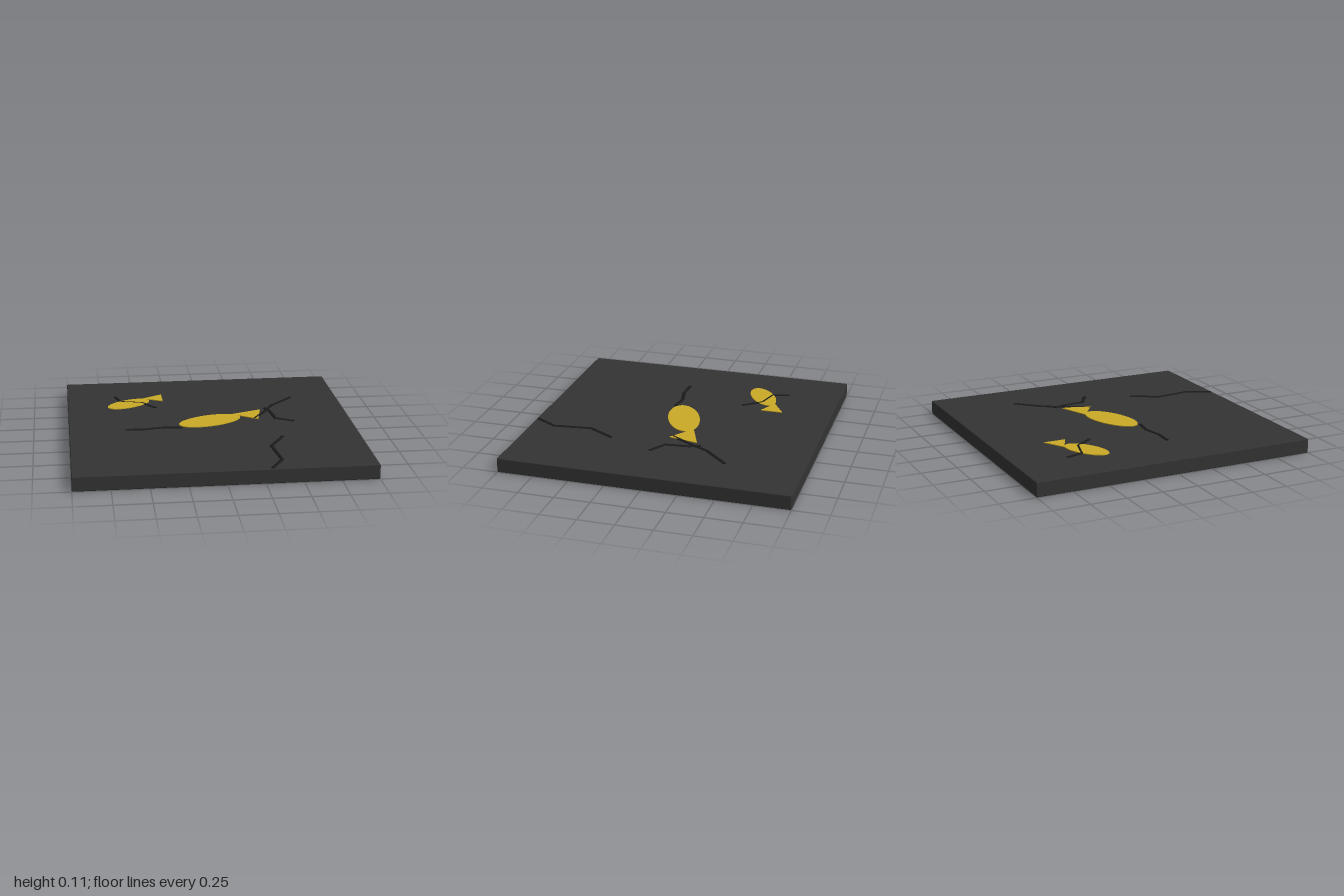
import * as THREE from 'three';
import { RoundedBoxGeometry } from 'three/addons/geometries/RoundedBoxGeometry.js';

const material = (name, color) => {
  const m = new THREE.MeshStandardMaterial({ color });
  m.name = name;
  return m;
};

export function createModel() {
  const stone = material('dark stone', 0x333333);
  const gold = material('gold inlay', 0xc9aa25);
  const black = material('crack black', 0x1a1a1a);
  const model = new THREE.Group();
  model.name = 'crackedFishTile';

  const add = (parent, name, geometry, mat) => {
    const mesh = new THREE.Mesh(geometry, mat);
    mesh.name = name;
    parent.add(mesh);
    return mesh;
  };

  // Stone slab with slightly softened edges
  const top = 0.1;
  add(model, 'slab', new RoundedBoxGeometry(2, top, 2, 2, 0.006), stone).position.y = top / 2;

  // Thin plate lying on the slab, from a shape drawn in (x, -z)
  const plate = (parent, name, shape) => {
    const geo = new THREE.ExtrudeGeometry(shape, { depth: 0.006, bevelEnabled: false, curveSegments: 48 });
    geo.rotateX(-Math.PI / 2);
    add(parent, name, geo, gold).position.y = top - 0.0005;
  };

  // Fish: oval body and triangular tail
  const fish = (name, x, z, a, b, tilt, tail) => {
    const group = new THREE.Group();
    group.name = name;
    plate(group, 'body', new THREE.Shape().absellipse(x, -z, a, b, 0, Math.PI * 2, false, tilt));
    plate(group, 'tail', new THREE.Shape(tail.map(([px, pz]) => new THREE.Vector2(px, -pz))));
    model.add(group);
  };
  fish('largeFish', -0.003, -0.003, 0.235, 0.112, 0.35,
    [[0.17, -0.125], [0.345, 0], [0.387, -0.21]]);
  fish('smallFish', -0.555, -0.452, 0.172, 0.084, 0.52,
    [[-0.445, -0.565], [-0.3, -0.493], [-0.3, -0.65]]);

  // Cracks: half-sunken round ridges along bent lines
  const radius = 0.015, sunk = 0.0925;
  const up = new THREE.Vector3(0, 1, 0);
  const crack = (name, points) => {
    const group = new THREE.Group();
    group.name = name;
    const path = points.map(([x, z]) => new THREE.Vector3(x, sunk, z));
    path.forEach((p, i) => {
      if (i === 0) return;
      const dir = p.clone().sub(path[i - 1]);
      const rod = add(group, 'segment', new THREE.CylinderGeometry(radius, radius, dir.length(), 16), black);
      rod.position.copy(p).add(path[i - 1]).multiplyScalar(0.5);
      rod.quaternion.setFromUnitVectors(up, dir.normalize());
      if (i < path.length - 1) {
        add(group, 'bend', new THREE.SphereGeometry(radius, 16, 12), black).position.copy(p);
      }
    });
    model.add(group);
  };
  crack('rightCrack', [[0.655, -0.478], [0.49, -0.31], [0.42, -0.18], [0.32, -0.02]]);
  crack('tailCrack', [[0.425, -0.25], [0.455, -0.17], [0.47, -0.01], [0.592, 0.065]]);
  crack('leftCrack', [[-0.61, 0.125], [-0.48, 0.133], [-0.34, 0.105], [-0.21, 0.125]]);
  crack('frontCrack', [[0.458, 0.38], [0.35, 0.565], [0.38, 0.83], [0.29, 0.985]]);
  crack('smallFishCrack', [[-0.645, -0.63], [-0.61, -0.512], [-0.455, -0.47], [-0.36, -0.342]]);

  return model;
}
